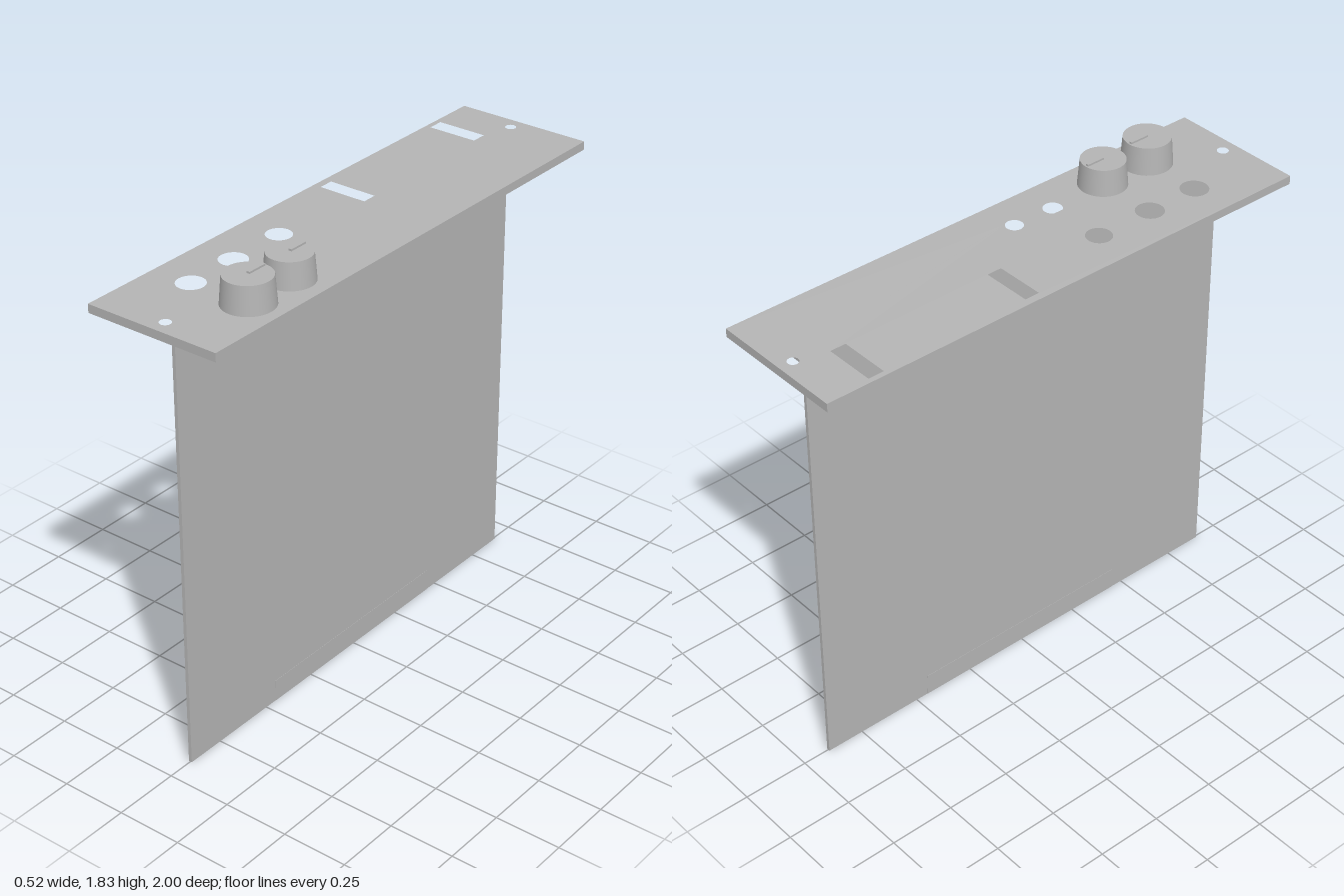
import * as THREE from 'three';

export function createModel() {
  const model = new THREE.Group();
  model.name = 'panelModule';
  const grey = new THREE.MeshStandardMaterial({ color: 0xb4b4b4 });
  grey.name = 'grey';

  const add = (name, geometry, x, y, z, parent = model) => {
    const mesh = new THREE.Mesh(geometry, grey);
    mesh.name = name;
    mesh.position.set(x, y, z);
    parent.add(mesh);
    return mesh;
  };
  // Box given by its limits on each axis
  const addBox = (name, x0, x1, y0, y1, z0, z1, parent) =>
    add(name, new THREE.BoxGeometry(x1 - x0, y1 - y0, z1 - z0),
      (x0 + x1) / 2, (y0 + y1) / 2, (z0 + z1) / 2, parent);

  // Front plate outline; shape y is -z
  const rect = (path, x0, x1, z0, z1) =>
    path.moveTo(x0, -z0).lineTo(x1, -z0).lineTo(x1, -z1).lineTo(x0, -z1).closePath();
  const plate = rect(new THREE.Shape(), -0.262, 0.262, -1, 1);

  // Round holes: x, z, radius
  const roundHoles = [
    [-0.017, -0.945, 0.02], [0.01, 0.943, 0.021],
    [-0.11, 0.25, 0.047], [-0.108, 0.483, 0.051], [-0.105, 0.694, 0.051],
    [0.122, 0.079, 0.032], [0.118, 0.246, 0.035],
  ];
  for (const [x, z, r] of roundHoles) {
    plate.holes.push(new THREE.Path().absarc(x, -z, r, 0, Math.PI * 2, true));
  }
  // Rectangular slots
  for (const s of [[-0.242, -0.05, -0.825, -0.765], [-0.233, -0.045, -0.18, -0.123]]) {
    plate.holes.push(rect(new THREE.Path(), ...s));
  }
  const plateGeometry = new THREE.ExtrudeGeometry(plate, {
    depth: 0.032, bevelEnabled: false, curveSegments: 24,
  });
  plateGeometry.rotateX(-Math.PI / 2);
  add('frontPlate', plateGeometry, 0, 1.691, 0);

  // Circuit board with its folded mounting flange and edge contacts
  addBox('board', -0.007, 0.006, 0, 1.691, -0.897, 0.9);
  addBox('flange', 0.006, 0.127, 1.677, 1.691, -0.897, 0.9);
  addBox('edgeConnector', -0.008, 0.007, 0, 0.085, -0.45, 0.45);

  // Tapered knobs with a pointer from centre toward the back
  for (const [x, z, r, h] of [[0.13, 0.69, 0.093, 0.103], [0.125, 0.48, 0.088, 0.098]]) {
    const knob = new THREE.Group();
    knob.name = 'knob';
    knob.position.set(x, 1.723, z);
    add('knobBody', new THREE.CylinderGeometry(r - 0.008, r, h, 40), 0, h / 2, 0, knob);
    addBox('knobPointer', -0.006, 0.006, h - 0.002, h + 0.007, -r + 0.014, -0.002, knob);
    model.add(knob);
  }
  return model;
}
